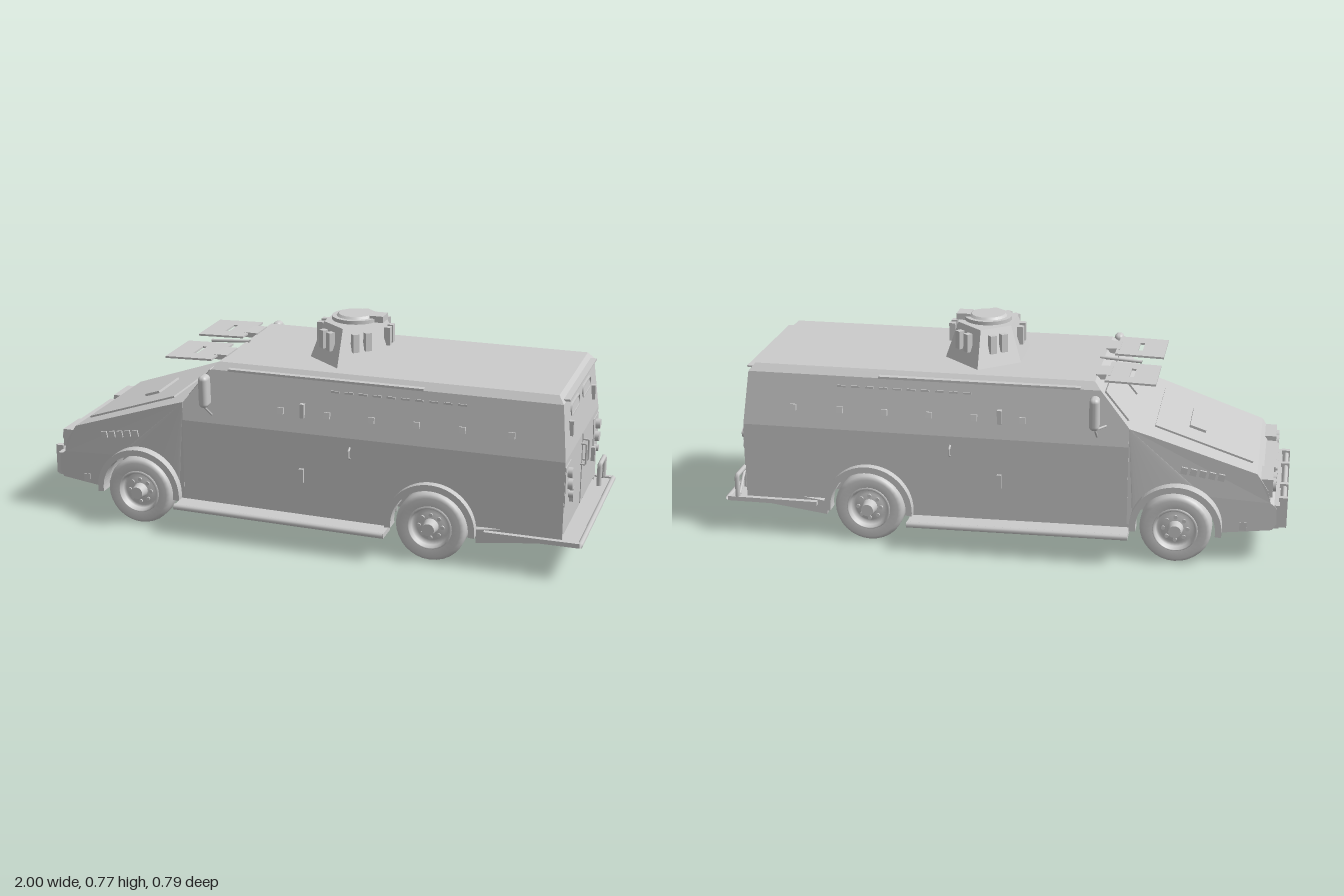
import * as THREE from 'three';
import { RoundedBoxGeometry } from 'three/addons/geometries/RoundedBoxGeometry.js';

const PI = Math.PI;

export function createModel() {
  const root = new THREE.Group();
  root.name = 'armouredTruck';
  const mat = new THREE.MeshStandardMaterial({ color: 0xcccccc, side: THREE.DoubleSide });
  const flat = new THREE.MeshStandardMaterial({ color: 0xcccccc, side: THREE.DoubleSide, flatShading: true });

  const add = (name, geo, pos = [0, 0, 0], rot = [0, 0, 0], parent = root, m = mat) => {
    const mesh = new THREE.Mesh(geo, m);
    mesh.name = name;
    mesh.position.set(...pos);
    mesh.rotation.set(...rot);
    parent.add(mesh);
    return mesh;
  };
  // Box given by its min and max corners
  const box = (name, a, b, parent = root) => add(name,
    new THREE.BoxGeometry(b[0] - a[0], b[1] - a[1], b[2] - a[2]),
    [(a[0] + b[0]) / 2, (a[1] + b[1]) / 2, (a[2] + b[2]) / 2], [0, 0, 0], parent);
  const disc = (name, r, len, pos, rot, parent = root, r2 = r) =>
    add(name, new THREE.CylinderGeometry(r2, r, len, 20), pos, rot, parent);
  // Round bar through a list of points
  const bar = (name, pts, r = 0.008) => {
    const path = new THREE.CurvePath();
    const v = pts.map(p => new THREE.Vector3(...p));
    for (let i = 1; i < v.length; i++) path.add(new THREE.LineCurve3(v[i - 1], v[i]));
    add(name, new THREE.TubeGeometry(path, (v.length - 1) * 6, r, 8));
  };
  // Side profile spread across the width; half width depends on x and y
  const prism = (name, shape, halfWidth) => {
    const geo = new THREE.ExtrudeGeometry(shape, { depth: 1, bevelEnabled: false, curveSegments: 16 });
    const p = geo.attributes.position;
    for (let i = 0; i < p.count; i++) p.setZ(i, (2 * p.getZ(i) - 1) * halfWidth(p.getX(i), p.getY(i)));
    geo.computeVertexNormals();
    add(name, geo, [0, 0, 0], [0, 0, 0], root, flat);
  };
  const poly = pts => new THREE.Shape(pts.map(p => new THREE.Vector2(...p)));
  const lathe = pts => new THREE.LatheGeometry(pts.map(p => new THREE.Vector2(...p)), 32);
  const lerp = THREE.MathUtils.mapLinear;
  const FRONT = -0.62, REAR = 0.47, AXLE = 0.125;

  // Hull: nose, lower body, cabin sides and roof edge
  const nose = new THREE.Shape();
  nose.moveTo(-0.45, 0.125);
  nose.lineTo(FRONT + 0.15, AXLE);
  nose.absarc(FRONT, AXLE, 0.15, 0, PI, false);
  [[-0.775, 0.108], [-0.95, 0.125], [-0.965, 0.15], [-0.96, 0.21], [-0.94, 0.225], [-0.93, 0.27], [-0.89, 0.33], [-0.53, 0.45], [-0.45, 0.475]]
    .forEach(p => nose.lineTo(...p));
  prism('nose', nose, (x, y) => lerp(x, -0.95, -0.45, 0.28, 0.315) - Math.max(0, y - 0.3) * 0.05);

  const lower = new THREE.Shape();
  lower.moveTo(-0.45, 0.41);
  lower.lineTo(-0.45, 0.145);
  lower.lineTo(REAR - 0.149, 0.145);
  lower.absarc(REAR, AXLE, 0.15, PI - 0.13, 0.13, true);
  lower.lineTo(0.925, 0.145);
  lower.lineTo(0.925, 0.41);
  prism('lowerBody', lower, () => 0.313);
  prism('cabin', poly([[-0.45, 0.41], [0.925, 0.41], [0.905, 0.6], [-0.348, 0.6], [-0.45, 0.475]]),
    (x, y) => lerp(y, 0.41, 0.6, 0.313, 0.284));
  prism('roof', poly([[-0.348, 0.6], [0.905, 0.6], [0.885, 0.625], [-0.325, 0.625]]),
    (x, y) => lerp(y, 0.6, 0.625, 0.284, 0.262));

  // Hood panel, grille and front bars
  box('grille', [-0.95, 0.235, -0.13], [-0.9, 0.3, 0.13]);
  for (let i = 0; i < 4; i++) box('grilleSlat', [-0.957, 0.24 + i * 0.016, -0.13], [-0.94, 0.247 + i * 0.016, 0.13]);
  add('hoodPanel', new THREE.BoxGeometry(0.36, 0.012, 0.4), [-0.7, 0.394, 0], [0, 0, 0.32]);
  add('hoodVent', new THREE.BoxGeometry(0.06, 0.022, 0.18), [-0.67, 0.408, -0.01], [0, 0, 0.32]);
  box('bumper', [-0.972, 0.13, -0.275], [-0.94, 0.215, 0.275]);
  for (const y of [0.135, 0.215]) bar('guardBar', [[-0.985, y, -0.235], [-0.985, y, 0.235]], 0.009);
  for (const z of [-0.23, -0.1, 0.1, 0.23]) box('guardPost', [-0.998, 0.12, z - 0.01], [-0.968, 0.23, z + 0.01]);

  // Roof edge strip and rear door seam
  box('rearGutter', [0.895, 0.602, -0.25], [0.92, 0.609, 0.25]);
  box('rearDoorSeam', [0.92, 0.15, -0.002], [0.928, 0.41, 0.002]);

  // Windscreen shutter with a viewing slot
  const shutter = poly([[-0.088, -0.105], [0.088, -0.105], [0.088, 0.105], [-0.088, 0.105]]);
  shutter.holes.push(poly([[-0.006, -0.045], [-0.006, 0.045], [0.01, 0.045], [0.01, -0.045]]));
  const shutterGeo = new THREE.ExtrudeGeometry(shutter, { depth: 0.007, bevelEnabled: false });
  bar('shutterStay', [[-0.46, 0.618, 0], [-0.31, 0.628, 0]], 0.006);

  // Thick arch flare and the wall closing the wheel well
  const flare = new THREE.Shape();
  flare.absarc(0, 0, 0.16, -0.1, PI + 0.1, false);
  flare.absarc(0, 0, 0.138, PI + 0.1, -0.1, true);
  const flareGeo = new THREE.ExtrudeGeometry(flare, { depth: 0.05, bevelEnabled: false, curveSegments: 20 });
  const wellGeo = new THREE.CircleGeometry(0.151, 24, 0, PI);

  // Rounded rear window frame
  const slot = (w, r) => {
    const s = new THREE.Shape();
    s.absarc(w, 0, r, -PI / 2, PI / 2, false);
    s.absarc(-w, 0, r, PI / 2, PI * 1.5, false);
    return s;
  };
  const frame = slot(0.053, 0.024);
  frame.holes.push(slot(0.053, 0.018));
  const frameGeo = new THREE.ExtrudeGeometry(frame, { depth: 0.008, bevelEnabled: false });

  // Wheels: tyre, dished rim, bolts and hub, outer side facing +z of the wheel group
  const wheel = (name, x, z, width, side, dish, hubEnd) => {
    const g = new THREE.Group();
    g.name = name;
    const h = width / 2;
    add('tyre', lathe([[0.075, -h], [0.108, -h], [0.12, -h * 0.8], [0.125, -h * 0.5], [0.125, h * 0.5], [0.12, h * 0.8], [0.108, h], [0.075, h * 0.9]]),
      [0, 0, 0], [PI / 2, 0, 0], g);
    const d = h * dish;
    add('rim', lathe([[0, d], [0.05, d], [0.062, d - 0.012], [0.068, h * 0.6], [0.072, h * 1.1], [0.079, h * 0.95]]),
      [0, 0, 0], [PI / 2, 0, 0], g);
    disc('hub', 0.028, hubEnd - d, [0, 0, (d + hubEnd) / 2], [PI / 2, 0, 0], g, 0.022);
    for (let i = 0; i < 8; i++) {
      const a = i * PI / 4;
      disc('bolt', 0.007, 0.012, [Math.cos(a) * 0.042, Math.sin(a) * 0.042, d], [PI / 2, 0, 0], g);
    }
    g.position.set(x, AXLE, z * side);
    if (side < 0) g.rotation.y = PI;
    root.add(g);
  };

  for (const s of [1, -1]) {
    const sbox = (name, a, b) => box(name,
      [a[0], a[1], Math.min(a[2] * s, b[2] * s)], [b[0], b[1], Math.max(a[2] * s, b[2] * s)]);

    wheel('frontWheel', FRONT, 0.293, 0.09, s, 0.6, 0.062);
    wheel('rearOuterWheel', REAR, 0.296, 0.076, s, 0.5, 0.058);
    wheel('rearInnerWheel', REAR, 0.218, 0.068, s, 0.3, 0.03);
    for (const x of [FRONT, REAR]) {
      add('wheelArch', flareGeo, [x, AXLE, s > 0 ? 0.292 : -0.342]);
      add('wheelWellWall', wellGeo, [x, AXLE, s * 0.165]);
    }

    // Skirts and running boards
    sbox('sideSkirt', [-0.465, 0.1, 0.295], [0.325, 0.15, 0.313]);
    add('rearSkirt', new THREE.BoxGeometry(0.3, 0.05, 0.02), [0.775, 0.127, s * 0.303], [0, 0, 0.13]);
    add('runningBoard', new THREE.BoxGeometry(0.78, 0.018, 0.085), [-0.07, 0.099, s * 0.343], [0, 0, -0.012]);
    bar('runningBoardEdge', [[-0.46, 0.105, s * 0.384], [0.32, 0.096, s * 0.384]], 0.011);

    // Front lamps, cheek vents and windscreen panes
    sbox('headlampHousing', [-0.945, 0.245, 0.15], [-0.87, 0.31, 0.277]);
    for (const z of [0.185, 0.24]) disc('headlamp', 0.023, 0.015, [-0.948, 0.278, s * z], [0, 0, PI / 2]);
    for (let i = 0; i < 5; i++)
      add('cheekVent', new THREE.BoxGeometry(0.022, 0.024, 0.012), [-0.77 + i * 0.032, 0.313 + i * 0.005, s * (0.291 + i * 0.002)], [0, 0, 0.2]);
    add('windscreenPane', new THREE.BoxGeometry(0.13, 0.012, 0.24), [-0.4, 0.537, s * 0.14], [0, 0, 0.89]);
    add('windscreenShutter', shutterGeo, [-0.445, 0.626, s * 0.152], [PI / 2, 0.03, 0]);
    sbox('shutterHinge', [-0.37, 0.612, 0.1], [-0.32, 0.63, 0.2]);

    // Mirrors on struts
    add('mirror', new RoundedBoxGeometry(0.034, 0.116, 0.052, 4, 0.015), [-0.338, 0.547, s * 0.369], [s * 0.04, 0, 0]);
    bar('mirrorStrut', [[-0.37, 0.48, s * 0.303], [-0.34, 0.488, s * 0.37], [-0.34, 0.44, s * 0.306]], 0.004);

    // Side doors: gutter, hinges, handle, gun ports
    sbox('sideGutter', [-0.28, 0.602, 0.275], [0.43, 0.61, 0.297]);
    for (const [y, z] of [[0.49, 0.302], [0.255, 0.313]]) sbox('sideHinge', [-0.008, y - 0.025, z - 0.01], [0.008, y + 0.025, z + 0.012]);
    bar('sideHandle', [[0.175, 0.335, s * 0.31], [0.175, 0.345, s * 0.328], [0.175, 0.367, s * 0.328], [0.175, 0.377, s * 0.31]], 0.004);
    for (const x of [-0.08, 0.09, 0.25, 0.41, 0.57, 0.74])
      add('gunPort', new THREE.BoxGeometry(0.022, 0.022, 0.018), [x, 0.482, s * 0.304], [s * -0.16, 0, 0]);
    for (let i = 0; i < 10; i++) sbox('sideVent', [0.1 + i * 0.05, 0.562, 0.27], [0.13 + i * 0.05, 0.569, 0.293]);

    // Rear doors: windows, hinges, handles, lamps
    add('rearWindow', frameGeo, [0.907, 0.547, s * 0.106], [0, PI / 2, 0]);
    for (const [y, x] of [[0.497, 0.915], [0.263, 0.925]]) sbox('rearHinge', [x - 0.01, y - 0.026, 0.2], [x + 0.014, y + 0.026, 0.217]);
    bar('rearHandle', [[0.92, 0.305, s * 0.025], [0.945, 0.305, s * 0.025], [0.945, 0.38, s * 0.025], [0.92, 0.38, s * 0.025]], 0.004);
    add('lampPanel', new THREE.ExtrudeGeometry(poly([[-0.31, 0.25], [-0.23, 0.25], [-0.215, 0.39], [-0.31, 0.39]]
      .map(([z, y]) => [z * s, y])), { depth: 0.006, bevelEnabled: false }), [0.922, 0, 0], [0, PI / 2, 0]);
    [[0.265, 0.36, 0.018], [0.255, 0.315, 0.018], [0.243, 0.275, 0.012]].forEach(([z, y, r]) =>
      disc('rearLamp', r, 0.02, [0.934, y, s * z], [0, 0, PI / 2]));

    // Chassis rails and step sides
    sbox('chassisRail', [-0.9, 0.105, 0.1], [0.92, 0.148, 0.13]);
    sbox('floorRail', [-0.45, 0.125, 0.21], [0.32, 0.148, 0.225]);
    sbox('stepSideRail', [0.66, 0.122, 0.322], [0.99, 0.138, 0.34]);
  }

  // Rear step and folding ladder frame
  box('rearStep', [0.91, 0.122, -0.325], [0.985, 0.132, 0.325]);
  bar('rearStepEdge', [[0.99, 0.13, -0.335], [0.99, 0.13, 0.335]], 0.01);
  bar('ladderFrame', [[0.955, 0.135, -0.23], [0.955, 0.215, -0.23], [0.955, 0.215, -0.33], [0.955, 0.135, -0.33]], 0.009);
  bar('ladderBrace', [[0.955, 0.21, -0.24], [0.955, 0.14, -0.31]], 0.006);

  // Axles, differential, drive shaft and cross members
  for (const x of [FRONT, REAR]) disc('axle', 0.013, 0.56, [x, 0.107, 0], [PI / 2, 0, 0]);
  add('differential', lathe([[0.012, -0.08], [0.022, -0.05], [0.038, -0.01], [0.038, 0.01], [0.022, 0.05], [0.012, 0.08]]),
    [REAR, 0.107, 0], [PI / 2, 0, 0]);
  bar('driveShaft', [[FRONT + 0.1, 0.12, 0], [REAR, 0.107, 0]], 0.014);
  for (const x of [-0.85, -0.4, 0.2, 0.88]) box('crossMember', [x - 0.012, 0.12, -0.29], [x + 0.012, 0.15, 0.29]);

  // Six-sided turret with shutters and round hatch
  const turret = new THREE.Group();
  turret.name = 'turret';
  turret.position.set(0.095, 0.625, 0);
  root.add(turret);
  const hex = [[0.14, 0.08], [0, 0.21], [-0.135, 0.1], [-0.135, -0.1], [0, -0.21], [0.14, -0.08]];
  const shell = new THREE.ExtrudeGeometry(poly(hex), { depth: 0.125, bevelEnabled: false });
  shell.rotateX(-PI / 2);
  const p = shell.attributes.position;
  for (let i = 0; i < p.count; i++) {
    const k = 1 - p.getY(i) / 0.125 * 0.3;
    p.setXYZ(i, p.getX(i) * k, p.getY(i), p.getZ(i) * k);
  }
  shell.computeVertexNormals();
  add('turretShell', shell, [0, 0, 0], [0, 0, 0], turret, flat);
  hex.forEach(([x, z], i) => {
    const [x2, z2] = hex[(i + 1) % 6];
    const a = Math.atan2(x2 - x, z2 - z);
    for (const t of [0.36, 0.64]) add('turretShutter', new THREE.BoxGeometry(0.022, 0.065, 0.024),
      [(x + (x2 - x) * t) * 0.9, 0.078, (z + (z2 - z) * t) * 0.9], [0, a, 0], turret);
  });
  disc('hatchRing', 0.085, 0.014, [0, 0.131, 0], [0, 0, 0], turret);
  disc('hatchLid', 0.072, 0.012, [0, 0.14, 0], [0, 0, 0], turret, 0.06);
  box('hatchHinge', [0.06, 0.125, -0.03], [0.11, 0.148, 0.03], turret);

  return root;
}
